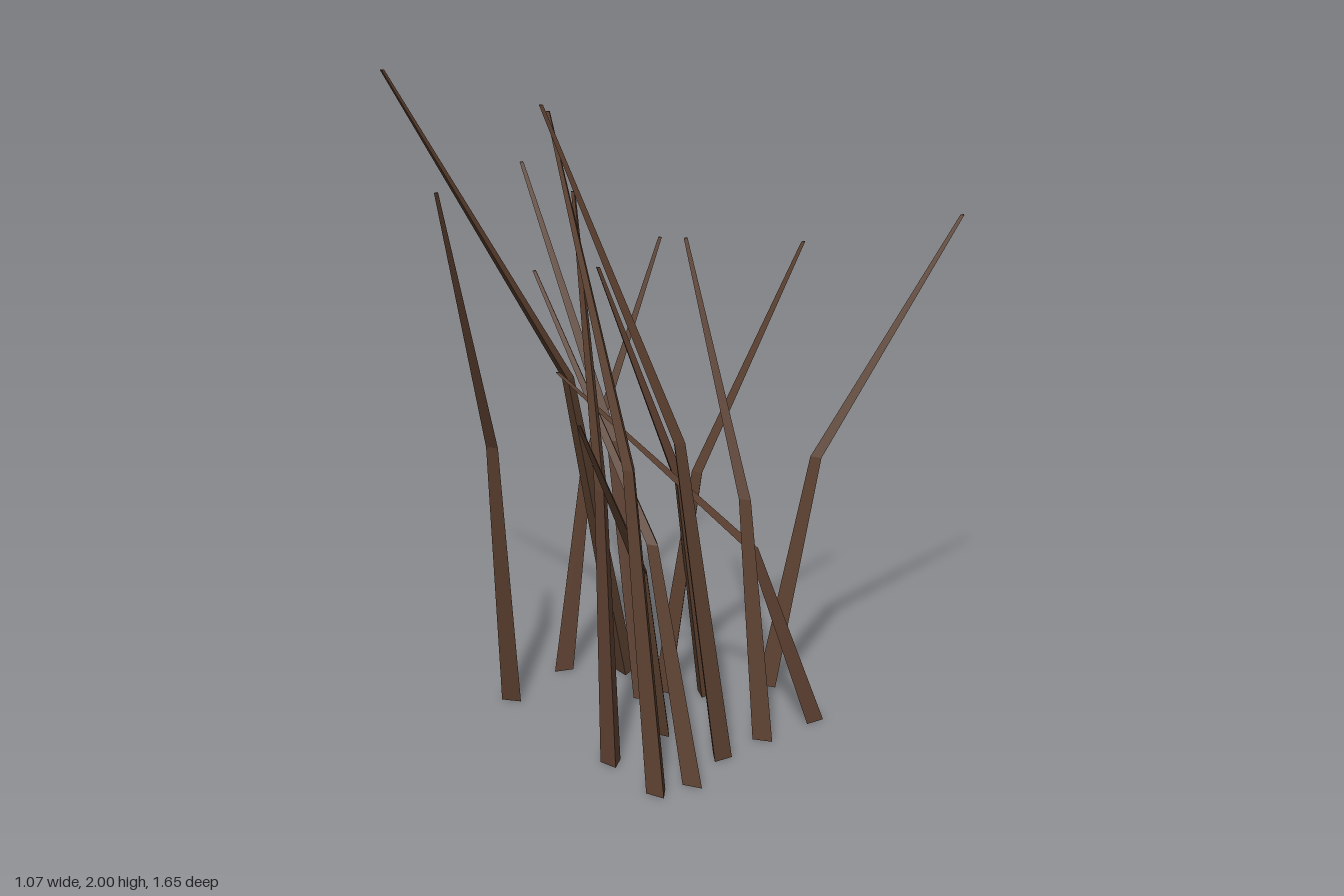
import * as THREE from 'three';

// Each stem: base x, base z, tip x, tip z, height
const STEMS = [
  [0.055, -0.333, 0.34, -0.82, 1.49],
  [-0.094, -0.045, 0.165, -0.36, 1.44],
  [0.0, -0.13, -0.13, 0.17, 1.38],
  [-0.09, 0.037, -0.527, 0.174, 1.62],
  [-0.416, 0.124, -0.533, -0.335, 1.31],
  [-0.286, -0.026, -0.312, 0.763, 2.0],
  [-0.312, 0.373, 0.058, 0.815, 1.73],
  [0.498, 0.27, -0.297, 0.28, 1.35],
  [0.488, 0.39, -0.215, 0.278, 1.84],
  [0.365, -0.08, 0.025, -0.036, 1.47],
  [0.343, -0.277, -0.037, 0.375, 1.12],
  [0.396, 0.105, 0.14, 0.532, 1.95],
  [0.16, 0.143, 0.38, 0.575, 1.11],
  [0.245, 0.384, -0.088, 0.278, 1.63],
];
const BASE_RADIUS = 0.035, TIP_RADIUS = 0.007;

// Three-sided tapering stem in two segments, bent by the square of its height,
// with one ridge turned away from the lean
function stemGeometry(x0, z0, x1, z1, height) {
  const dx = x1 - x0, dz = z1 - z0;
  const geometry = new THREE.CylinderGeometry(
    TIP_RADIUS, BASE_RADIUS, height, 3, 2, false, Math.atan2(-dx, -dz));
  geometry.translate(0, height / 2, 0);
  const p = geometry.attributes.position;
  for (let i = 0; i < p.count; i++) {
    const bend = (p.getY(i) / height) ** 2;
    p.setX(i, p.getX(i) + x0 + dx * bend);
    p.setZ(i, p.getZ(i) + z0 + dz * bend);
  }
  geometry.computeVertexNormals();
  return geometry;
}

export function createModel() {
  const group = new THREE.Group();
  group.name = 'dryStems';
  const brown = new THREE.MeshStandardMaterial({ color: 0x5c4030, flatShading: true });
  brown.name = 'driedBrown';
  STEMS.forEach((stem, i) => {
    const mesh = new THREE.Mesh(stemGeometry(...stem), brown);
    mesh.name = `stem${i + 1}`;
    group.add(mesh);
  });
  return group;
}
